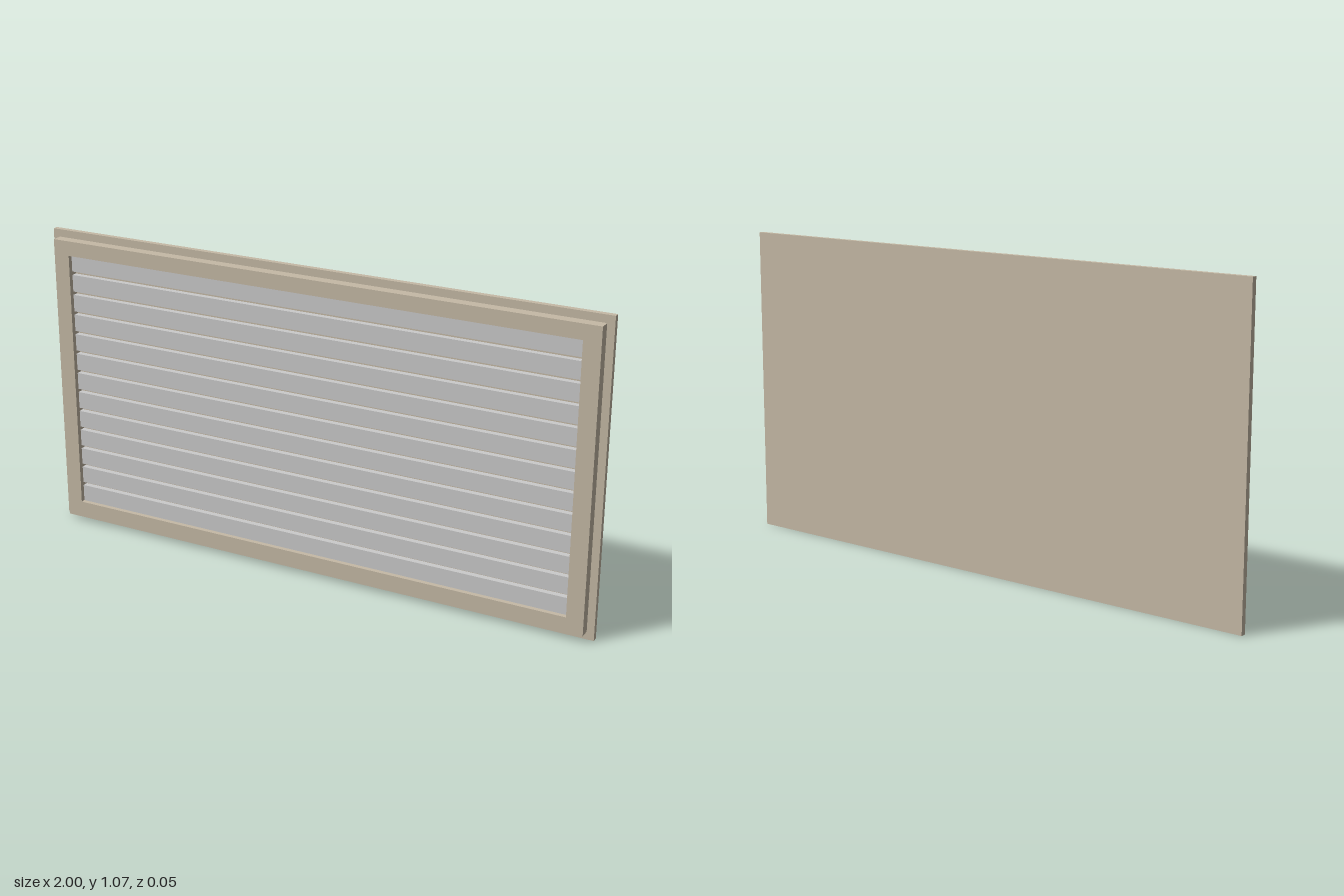
import * as THREE from 'three';

const H = 1.067;
const tan = new THREE.MeshStandardMaterial({ color: 0xc6baa6 });
const grey = new THREE.MeshStandardMaterial({ color: 0xcccccc });

// Rectangle as a list of corners, counter-clockwise
function rect(x, y0, y1) {
  return [[-x, y0], [x, y0], [x, y1], [-x, y1]].map(([a, b]) => new THREE.Vector2(a, b));
}

export function createModel() {
  const group = new THREE.Group();
  const add = (name, geometry, material, x, y, z) => {
    const mesh = new THREE.Mesh(geometry, material);
    mesh.name = name;
    mesh.position.set(x, y, z);
    group.add(mesh);
  };

  // Back plate
  add('backPlate', new THREE.BoxGeometry(2, H, 0.019), tan, 0, H / 2, -0.0175);

  // Raised frame with a rectangular opening
  const frame = new THREE.Shape(rect(0.975, 0.027, 1.041));
  frame.holes.push(new THREE.Path(rect(0.917, 0.079, 0.99).reverse()));
  add('frame', new THREE.ExtrudeGeometry(frame, { depth: 0.036, bevelEnabled: false }), tan, 0, 0, -0.008);

  // Thirteen horizontal slats, recessed in the opening
  const slat = new THREE.BoxGeometry(1.834, 0.059, 0.02);
  for (let i = 0; i < 13; i++) {
    add('slat' + (i + 1), slat, grey, 0, 0.079 + 0.0295 + i * 0.071, 0.002);
  }
  return group;
}
